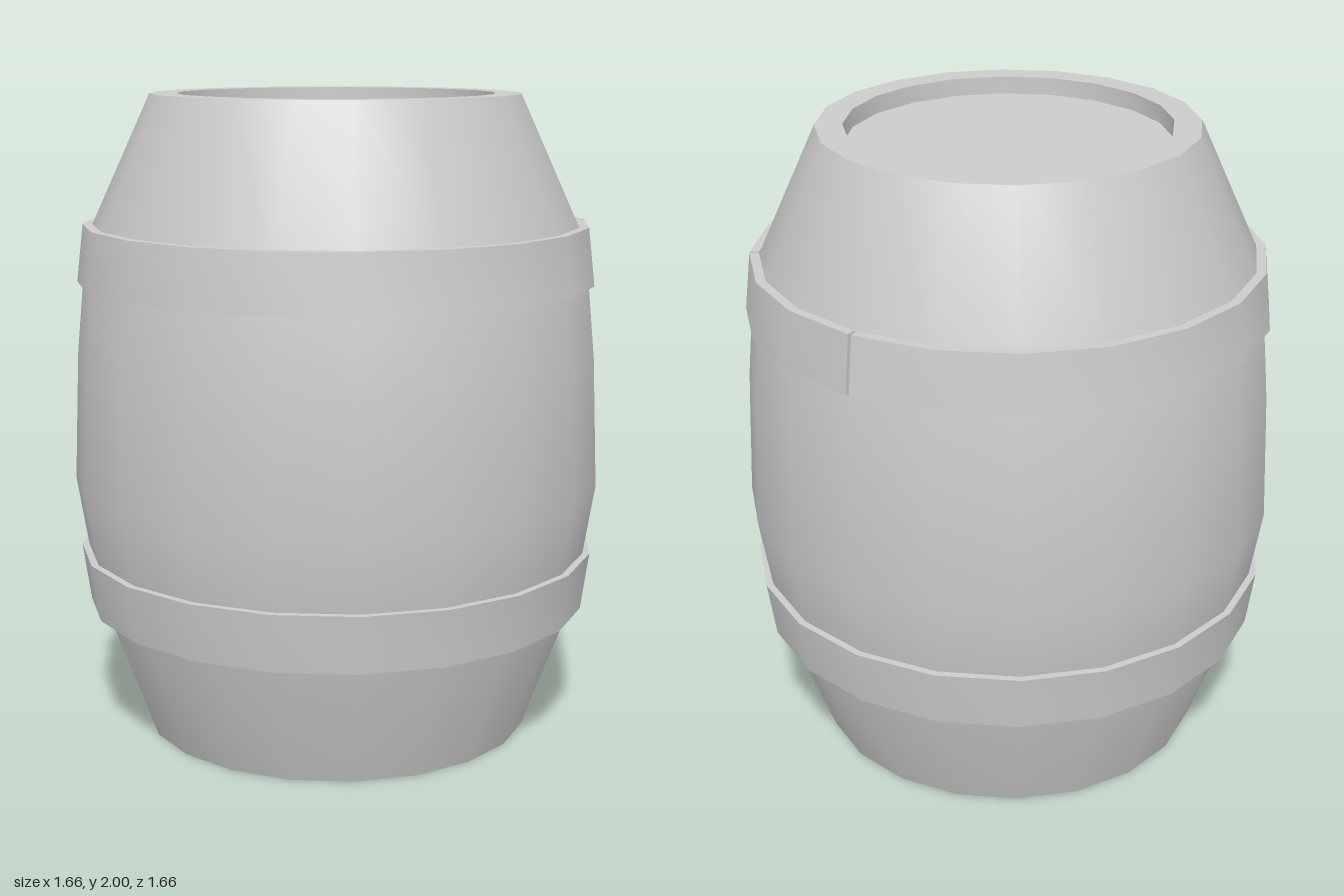
import * as THREE from 'three';
import { toCreasedNormals } from 'three/addons/utils/BufferGeometryUtils.js';

const SIDES = 20;
const rad = THREE.MathUtils.degToRad;
const points = (list) => list.map(([r, y]) => new THREE.Vector2(r, y));

export function createModel() {
  const barrel = new THREE.Group();
  barrel.name = 'barrel';
  const material = new THREE.MeshStandardMaterial({ color: 0xcccccc });
  const thin = new THREE.MeshStandardMaterial({ color: 0xcccccc, side: THREE.DoubleSide });

  const add = (parent, name, geometry, mat = material) => {
    const mesh = new THREE.Mesh(geometry, mat);
    mesh.name = name;
    parent.add(mesh);
    return mesh;
  };
  const turned = (profile, sides = SIDES, start = 0, length = Math.PI * 2) =>
    toCreasedNormals(new THREE.LatheGeometry(points(profile), sides, start, length), rad(40));

  // Bulging staves, with a rim folded into the recess at each end
  add(barrel, 'staves', turned([
    [0.535, 0.035], [0.535, 0], [0.612, 0], [0.757, 0.4], [0.793, 0.58], [0.828, 0.8],
    [0.811, 1.2], [0.789, 1.43], [0.757, 1.6], [0.573, 2], [0.49, 2], [0.49, 1.945],
  ]));

  // Recessed heads
  const topHead = add(barrel, 'topHead', new THREE.CircleGeometry(0.49, SIDES));
  topHead.rotation.x = -Math.PI / 2;
  topHead.position.y = 1.945;
  const bottomHead = add(barrel, 'bottomHead', new THREE.CircleGeometry(0.535, SIDES));
  bottomHead.rotation.x = Math.PI / 2;
  bottomHead.position.y = 0.035;

  // Lower hoop: one closed ring
  add(barrel, 'lowerHoop', turned([
    [0.757, 0.4], [0.79, 0.4], [0.815, 0.58], [0.785, 0.58], [0.757, 0.4],
  ]));

  // Upper hoop: a long and a short piece with narrow gaps between them
  const upperHoop = new THREE.Group();
  upperHoop.name = 'upperHoop';
  barrel.add(upperHoop);
  const section = [[0.783, 1.425], [0.807, 1.425], [0.786, 1.603], [0.757, 1.603], [0.783, 1.425]];
  const gap = 0.4;
  for (const [name, from, to, sides] of [['shortHoopPiece', 72, 126, 3], ['longHoopPiece', 126, 432, 17]]) {
    const start = rad(from + gap);
    const end = rad(to - gap);
    add(upperHoop, name, turned(section, sides, start, end - start));
    for (const angle of [start, end]) {
      const cap = add(upperHoop, name + 'End', new THREE.ShapeGeometry(new THREE.Shape(points(section.slice(0, 4)))), thin);
      cap.rotation.y = angle - Math.PI / 2;
    }
  }
  return barrel;
}
